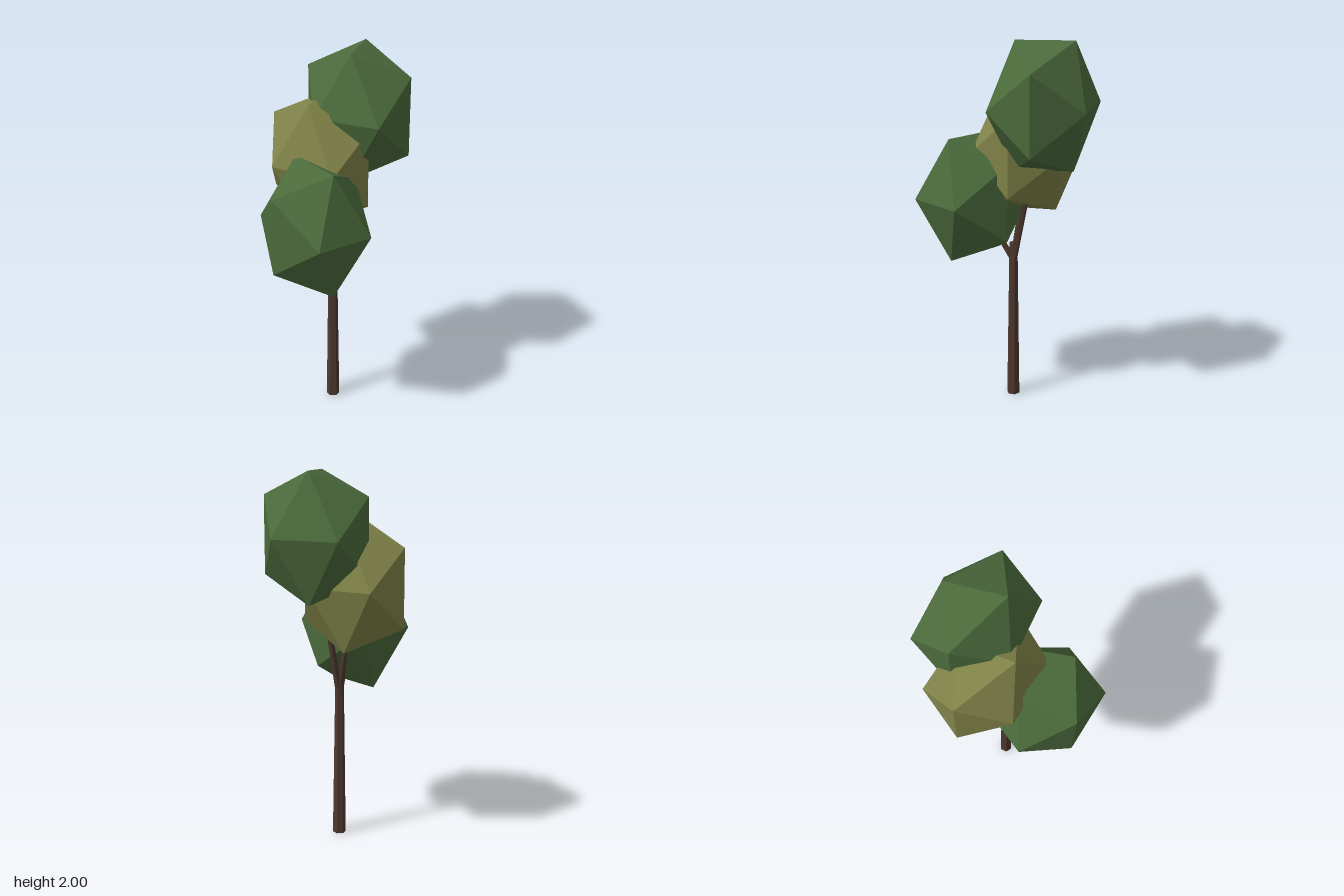
import * as THREE from 'three';

const UP = new THREE.Vector3(0, 1, 0);

// Tapered faceted limb between two points
function limb(name, from, to, r0, r1, sides, material) {
  const a = new THREE.Vector3(...from), b = new THREE.Vector3(...to);
  const geo = new THREE.CylinderGeometry(r1, r0, a.distanceTo(b), sides).toNonIndexed();
  geo.computeVertexNormals();
  const mesh = new THREE.Mesh(geo, material);
  mesh.name = name;
  mesh.position.copy(a).add(b).multiplyScalar(0.5);
  mesh.quaternion.setFromUnitVectors(UP, b.sub(a).normalize());
  return mesh;
}

// Stretched icosahedron; ax and az are its skewed horizontal axes as [x, z]
function foliage(name, center, ax, height, az, material) {
  const geo = new THREE.IcosahedronGeometry(1, 0);
  geo.applyMatrix4(new THREE.Matrix4().makeBasis(
    new THREE.Vector3(ax[0], 0, ax[1]),
    new THREE.Vector3(0, height, 0),
    new THREE.Vector3(az[0], 0, az[1])
  ));
  geo.computeVertexNormals();
  const mesh = new THREE.Mesh(geo, material);
  mesh.name = name;
  mesh.position.set(...center);
  return mesh;
}

export function createModel() {
  const bark = new THREE.MeshStandardMaterial({ color: 0x4e382e });
  const green = new THREE.MeshStandardMaterial({ color: 0x4b6b3c });
  const olive = new THREE.MeshStandardMaterial({ color: 0x808348 });
  bark.name = 'bark';
  green.name = 'darkGreenLeaves';
  olive.name = 'oliveLeaves';

  const tree = new THREE.Group();
  tree.name = 'tree';

  // Trunk and the three branches leading into the foliage
  const fork = [-0.014, 0.8, 0.01];
  tree.add(limb('trunk', [-0.014, 0, 0.01], [-0.014, 0.9, 0.008], 0.036, 0.023, 6, bark));
  tree.add(limb('frontBranch', fork, [-0.2, 1.15, 0.125], 0.018, 0.011, 5, bark));
  tree.add(limb('backBranch', fork, [-0.016, 1.4, -0.108], 0.019, 0.011, 5, bark));
  tree.add(limb('topBranch', fork, [0.165, 1.6, -0.03], 0.02, 0.011, 5, bark));

  // Foliage clumps
  tree.add(foliage('frontFoliage', [-0.199, 1.151, 0.125], [0.0095, 0.328], 0.394, [-0.298, 0.0118], green));
  tree.add(foliage('backFoliage', [-0.0164, 1.408, -0.108], [0.235, -0.159], 0.396, [0.145, 0.314], olive));
  tree.add(foliage('topFoliage', [0.1725, 1.665, -0.0375], [0.2175, -0.194], 0.394, [0.178, 0.291], green));

  return tree;
}
